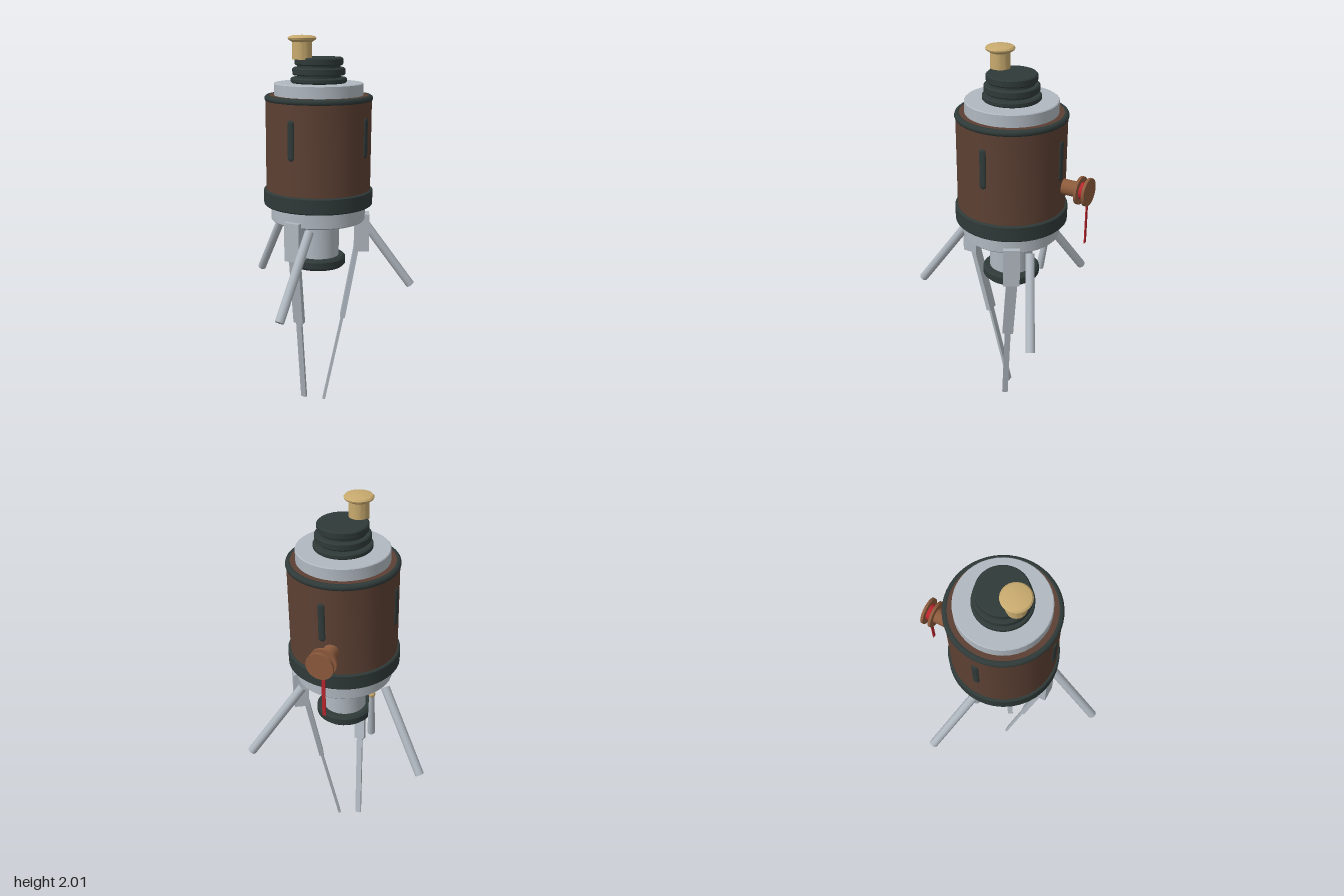
import * as THREE from 'three';
import { toCreasedNormals } from 'three/addons/utils/BufferGeometryUtils.js';

const CX = 0.045, CZ = -0.067; // axis of the main drum

export function createModel() {
  const model = new THREE.Group();
  model.name = 'probe';
  const mat = (name, color) => {
    const m = new THREE.MeshStandardMaterial({ color });
    m.name = name;
    return m;
  };
  const brown = mat('darkBrown', 0x5c4033);
  const copper = mat('copperBrown', 0x8b5a3c);
  const dark = mat('darkGreyGreen', 0x2f3a38);
  const silver = mat('silver', 0xb0b8c0);
  const gold = mat('gold', 0xc8aa6e);
  const red = mat('red', 0xb8252d);

  const add = (name, geometry, material, x = 0, y = 0, z = 0) => {
    const mesh = new THREE.Mesh(geometry, material);
    mesh.name = name;
    mesh.position.set(x, y, z);
    model.add(mesh);
    return mesh;
  };
  // Profile is [radius, height] pairs from bottom to top
  const turned = (name, profile, material, x = CX, y = 0, z = CZ, segments = 40) => {
    const g = new THREE.LatheGeometry(profile.map(p => new THREE.Vector2(...p)), segments);
    return add(name, toCreasedNormals(g, 0.6), material, x, y, z);
  };
  const disc = (name, r, y0, y1, material, bevel = 0.004) => turned(name, [
    [0, y0], [r - bevel, y0], [r, y0 + bevel], [r, y1 - bevel], [r - bevel, y1], [0, y1],
  ], material);
  // Aligns a mesh's y axis with a -> b, keeping its x axis near the given side vector
  const span = (mesh, a, b, side) => {
    const y = b.clone().sub(a).normalize();
    const x = side.clone().addScaledVector(y, -side.dot(y)).normalize();
    const z = new THREE.Vector3().crossVectors(x, y);
    mesh.quaternion.setFromRotationMatrix(new THREE.Matrix4().makeBasis(x, y, z));
    mesh.position.copy(a).add(b).multiplyScalar(0.5);
  };
  const V = (x, y, z) => new THREE.Vector3(x, y, z);

  // Drum and its trim
  disc('drum', 0.275, 1.18, 1.69, brown, 0.006);
  disc('lowerBand', 0.288, 1.125, 1.21, dark, 0.006);
  const rim = add('upperRim', new THREE.TorusGeometry(0.264, 0.017, 10, 48), dark, CX, 1.683, CZ);
  rim.rotation.x = Math.PI / 2;
  disc('rimFill', 0.268, 1.66, 1.698, brown);
  disc('topPlate', 0.231, 1.69, 1.76, silver);

  // Four dark slots around the drum
  for (let i = 0; i < 4; i++) {
    const a = i * Math.PI / 2;
    const slot = add('slot', new THREE.CapsuleGeometry(0.018, 0.17, 6, 12), dark,
      CX + 0.274 * Math.sin(a), 1.493, CZ + 0.274 * Math.cos(a));
    slot.rotation.y = a;
    slot.scale.z = 0.5;
  }

  // Stepped stack on top
  disc('stackCore', 0.112, 1.75, 1.87, dark);
  [[0.145, 1.76, 1.787], [0.136, 1.799, 1.837], [0.125, 1.849, 1.888]]
    .forEach(([r, y0, y1]) => disc('stackRing', r, y0, y1, dark, 0.006));

  // Gold knob
  turned('knob', [
    [0, 1.88], [0.05, 1.88], [0.05, 1.965], [0.07, 1.977], [0.073, 1.985],
    [0.066, 1.993], [0.045, 1.998], [0, 2],
  ], gold, 0, 0, 0.024, 28);

  // Underside
  disc('basePlate', 0.25, 1.04, 1.14, silver, 0.006);
  disc('neck', 0.113, 0.82, 1.06, silver);
  disc('neckCap', 0.149, 0.785, 0.843, dark, 0.012);

  // Reel on the back, with its axis along -z
  const reelPart = (name, r, z0, z1, material) => {
    const m = add(name, new THREE.CylinderGeometry(r, r, z1 - z0, 28), material, 0, 1.34, -(z0 + z1) / 2);
    m.rotation.x = Math.PI / 2;
  };
  reelPart('reelArm', 0.039, 0.31, 0.43, copper);
  reelPart('reelInnerFlange', 0.071, 0.424, 0.438, copper);
  reelPart('reelSpool', 0.043, 0.436, 0.468, red);
  reelPart('reelOuterFlange', 0.071, 0.466, 0.48, copper);
  add('reelRibbon', new THREE.BoxGeometry(0.018, 0.29, 0.005), red, -0.012, 1.195, -0.464);

  // Three splayed struts
  const struts = [
    [V(0.13, 1.03, 0.17), V(0.13, 0.635, 0.457)],
    [V(0.197, 1.03, -0.262), V(0.448, 0.635, -0.407)],
    [V(-0.2, 1.03, -0.112), V(-0.45, 0.635, -0.256)],
  ];
  for (const [a, b] of struts) {
    const strut = add('strut', new THREE.CylinderGeometry(0.024, 0.024, a.distanceTo(b), 10), silver);
    span(strut, b, a, V(1, 0, 0.3));
  }

  // Two long jointed legs: hip block, thigh and shin
  const legs = [
    { angle: 0, points: [V(0.04, 0.9, 0.168), V(0.015, 0.485, 0.08), V(-0.015, 0.004, -0.02)] },
    { angle: Math.PI * 2 / 3, points: [V(0.225, 0.9, -0.178), V(0.172, 0.485, -0.12), V(0.095, 0.004, -0.058)] },
  ];
  for (const { angle, points: [hip, knee, foot] } of legs) {
    const side = V(Math.cos(angle), 0, -Math.sin(angle));
    const block = add('hipBlock', new THREE.BoxGeometry(0.085, 0.205, 0.078), silver,
      CX + 0.235 * Math.sin(angle), 0.968, CZ + 0.235 * Math.cos(angle));
    block.rotation.y = angle;
    const thigh = add('thigh', new THREE.BoxGeometry(0.058, hip.distanceTo(knee), 0.026), silver);
    span(thigh, knee, hip, side);
    const shin = add('shin', new THREE.BoxGeometry(0.032, knee.distanceTo(foot) + 0.02, 0.014), silver);
    span(shin, foot, knee, side);
  }

  // Short stub leg on a gold joint
  add('stubJoint', new THREE.SphereGeometry(0.018, 16, 12), gold, -0.155, 1.028, -0.188);
  const top = V(-0.154, 1.015, -0.186), end = V(-0.138, 0.745, -0.145);
  const stub = add('stubLeg', new THREE.CylinderGeometry(0.014, 0.021, top.distanceTo(end), 12), silver);
  span(stub, end, top, V(1, 0, 0));

  return model;
}
